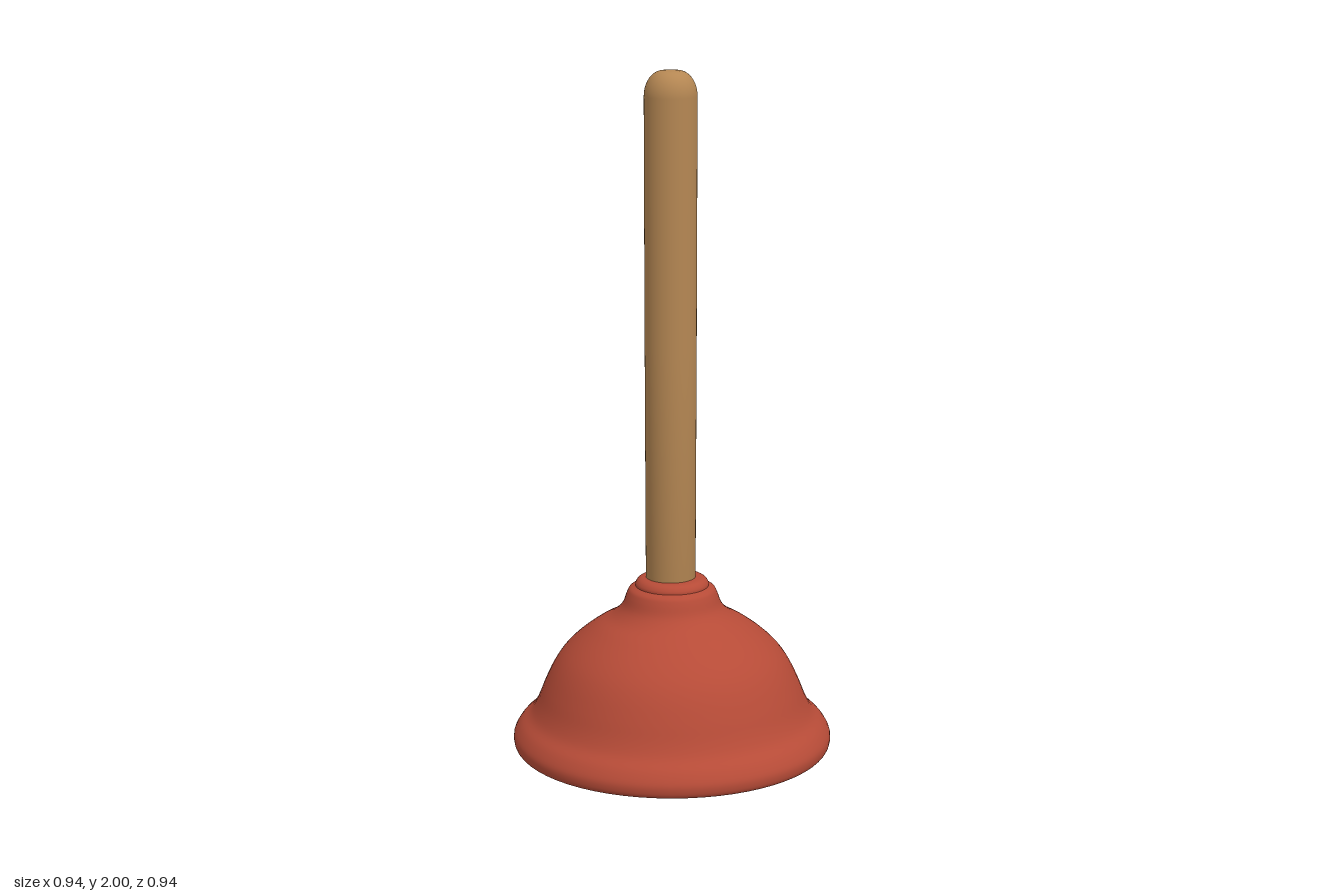
import * as THREE from 'three';

const SEGMENTS = 64;

// Smooth lathe through a few [radius, height] points, bottom to top
function lathe(name, points, material, steps) {
  const pts = points.map(([r, y]) => new THREE.Vector2(r, y));
  const profile = steps ? new THREE.SplineCurve(pts).getPoints(steps) : pts;
  const mesh = new THREE.Mesh(new THREE.LatheGeometry(profile, SEGMENTS), material);
  mesh.name = name;
  return mesh;
}

export function createModel() {
  const rubber = new THREE.MeshStandardMaterial({ color: 0xb64b37, side: THREE.DoubleSide });
  rubber.name = 'red rubber';
  const wood = new THREE.MeshStandardMaterial({ color: 0xb58753 });
  wood.name = 'wood';

  const model = new THREE.Group();
  model.name = 'plunger';

  // Thin hollow rubber cup: flared lip, bell and neck
  model.add(lathe('cup', [
    [0.452, 0], [0.463, 0.004], [0.47, 0.018], [0.469, 0.043], [0.45, 0.074], [0.42, 0.102],
    [0.399, 0.138], [0.378, 0.19], [0.352, 0.245], [0.322, 0.29], [0.28, 0.332], [0.225, 0.373],
    [0.178, 0.4], [0.148, 0.43], [0.134, 0.465], [0.125, 0.482], [0.108, 0.491],
  ], rubber, 64));

  // Collar where the handle enters the neck
  model.add(lathe('collar', [
    [0.108, 0.491], [0.107, 0.499], [0.1, 0.509], [0.088, 0.515], [0.068, 0.517],
  ], rubber, 16));

  // Wooden handle with a closed foot and a rounded end
  const profile = [[0, 0.48], [0.073, 0.48], [0.075, 1.2], [0.076, 1.925]];
  for (let i = 1; i <= 10; i++) {
    const a = (i / 10) * Math.PI / 2;
    profile.push([0.023 + 0.053 * Math.cos(a), 1.925 + 0.073 * Math.sin(a)]);
  }
  profile.push([0, 2]);
  const handle = lathe('handle', profile, wood);
  handle.position.x = -0.004;
  model.add(handle);

  return model;
}
